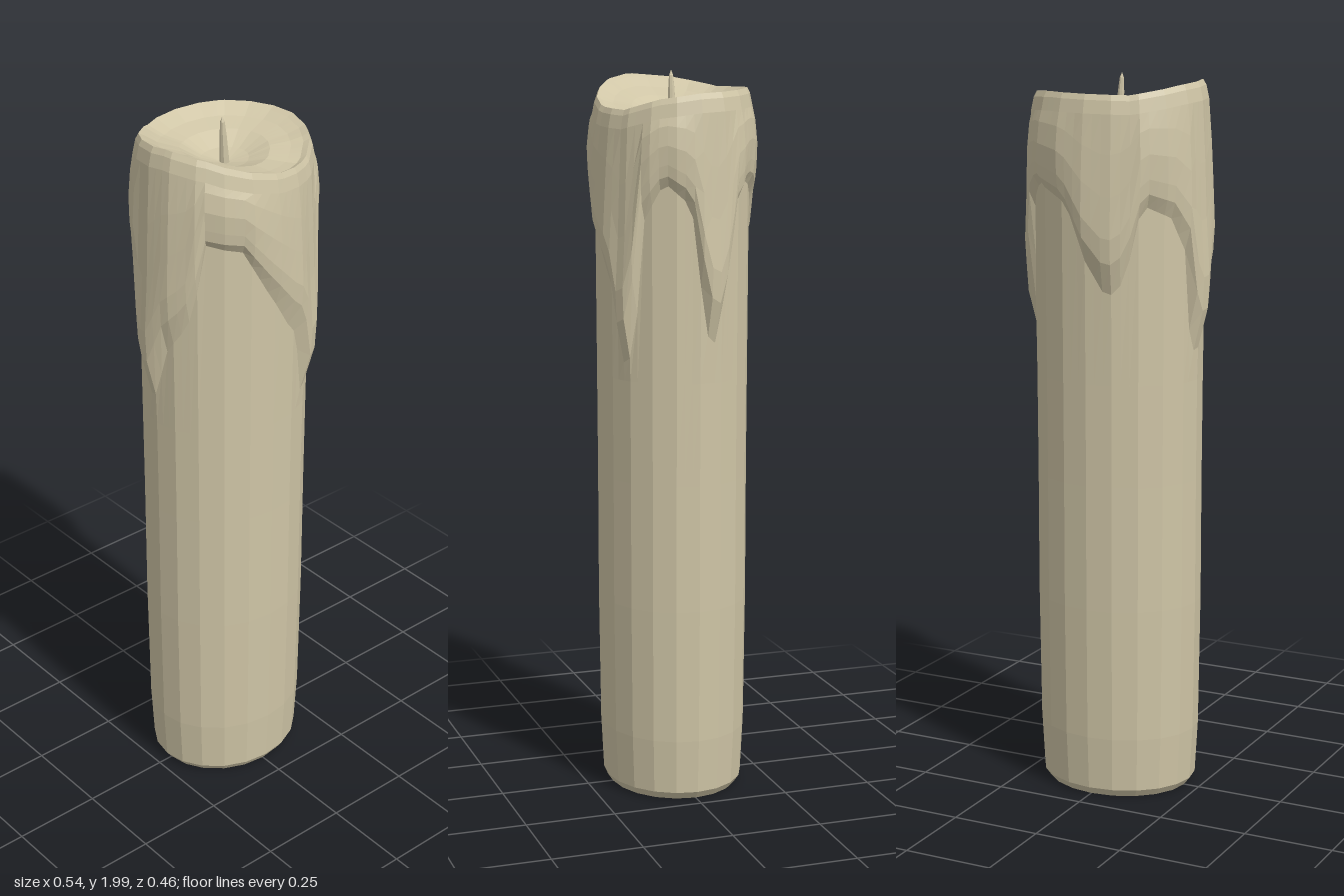
import * as THREE from 'three';

const SEG = 60; // three columns for each of the candle's 20 sides

// angle in degrees (0 = +x, 90 = +z) -> height of the melted wax's lower edge
const EDGE = [[0, 1.52], [7, 1.69], [27, 1.74], [42, 1.66], [51, 1.36], [60, 1.34], [68, 1.5], [78, 1.54],
  [95, 1.63], [114, 1.74], [138, 1.76], [147, 1.6], [156, 1.55], [168, 1.5], [180, 1.38], [190, 1.37],
  [198, 1.6], [210, 1.67], [232, 1.7], [243, 1.54], [255, 1.5], [270, 1.58], [285, 1.7], [315, 1.74],
  [330, 1.68], [340, 1.5], [351, 1.36], [360, 1.52]];
// angle -> height of the rim
const RIM = [[0, 1.945], [30, 1.93], [60, 1.9], [85, 1.905], [110, 1.93], [140, 1.97], [165, 1.985],
  [200, 1.975], [240, 1.95], [300, 1.955], [360, 1.945]];

function sample(table, deg) {
  const i = Math.max(1, table.findIndex((p) => p[0] >= deg));
  const [a0, v0] = table[i - 1], [a1, v1] = table[i];
  return v0 + (v1 - v0) * (deg - a0) / (a1 - a0);
}

// radius factor that turns a circle into a 20-sided polygon
function facet(deg) {
  const half = 9, off = (deg % 18) - half;
  return Math.cos(half * Math.PI / 180) / Math.cos(off * Math.PI / 180);
}

// one vertical section, from the base centre up the side and down into the bowl: [radius scale, extra, y]
function section(deg) {
  const edge = sample(EDGE, deg), rim = sample(RIM, deg);
  const drip = THREE.MathUtils.clamp((1.76 - edge) / 0.36, 0, 1);
  const thick = 0.014 + 0.014 * drip;
  const foot = edge - 0.02 - 0.09 * drip;
  const up = (t) => edge + (rim - edge) * t;
  return [
    [0, 0, 0.015], [0.86, 0, 0.008], [0.93, 0, 0.03], [0.965, 0, 0.18], [0.985, 0, 0.55], [0.985, 0, 0.9],
    [0.99, 0, 1.18], [1, 0, foot],
    [1, thick, edge], [1, thick + 0.004, up(0.15)], [1.01, 0.02, up(0.4)], [1.02, 0.012, up(0.65)],
    [1.02, 0.004, rim - 0.05], [1.005, 0, rim - 0.015], [0.97, 0, rim],
    [0.9, 0, rim - 0.008], [0.76, 0, rim * 0.7 + 0.562], [0.52, 0, rim * 0.4 + 1.134],
    [0.28, 0, rim * 0.12 + 1.652], [0, 0, 1.87],
  ];
}

function waxGeometry() {
  const pos = [], index = [];
  let rows = 0;
  for (let j = 0; j < SEG; j++) {
    const deg = j * 360 / SEG, a = deg * Math.PI / 180;
    const points = section(deg);
    rows = points.length;
    for (const [scale, extra, y] of points) {
      const f = facet(deg);
      pos.push((0.238 * scale * f + extra) * Math.cos(a), y, (0.206 * scale * f + extra) * Math.sin(a));
    }
  }
  for (let j = 0; j < SEG; j++) {
    const p = j * rows, q = ((j + 1) % SEG) * rows;
    for (let i = 0; i < rows - 1; i++) {
      if (i > 0) index.push(p + i, p + i + 1, q + i);
      if (i < rows - 2) index.push(q + i, p + i + 1, q + i + 1);
      if (i === rows - 2) continue;
    }
  }
  const geo = new THREE.BufferGeometry();
  geo.setAttribute('position', new THREE.Float32BufferAttribute(pos, 3));
  geo.setIndex(index);
  const flat = geo.toNonIndexed();
  flat.computeVertexNormals();
  return flat;
}

export function createModel() {
  const group = new THREE.Group();
  const material = new THREE.MeshStandardMaterial({ color: 0xcfc5a6, flatShading: true });

  // wax body with drips, rim and hollow top
  const wax = new THREE.Mesh(waxGeometry(), material);
  wax.name = 'waxBody';
  group.add(wax);

  // slightly leaning wick
  const profile = [[0.013, 1.86], [0.012, 1.89], [0.009, 1.95], [0.006, 1.985], [0, 2]];
  const wickGeo = new THREE.LatheGeometry(profile.map(([r, y]) => new THREE.Vector2(r, y)), 8);
  const p = wickGeo.attributes.position;
  for (let i = 0; i < p.count; i++) p.setX(i, p.getX(i) - (p.getY(i) - 1.87) * 0.06);
  wickGeo.computeVertexNormals();
  const wick = new THREE.Mesh(wickGeo, material);
  wick.name = 'wick';
  group.add(wick);
  return group;
}
